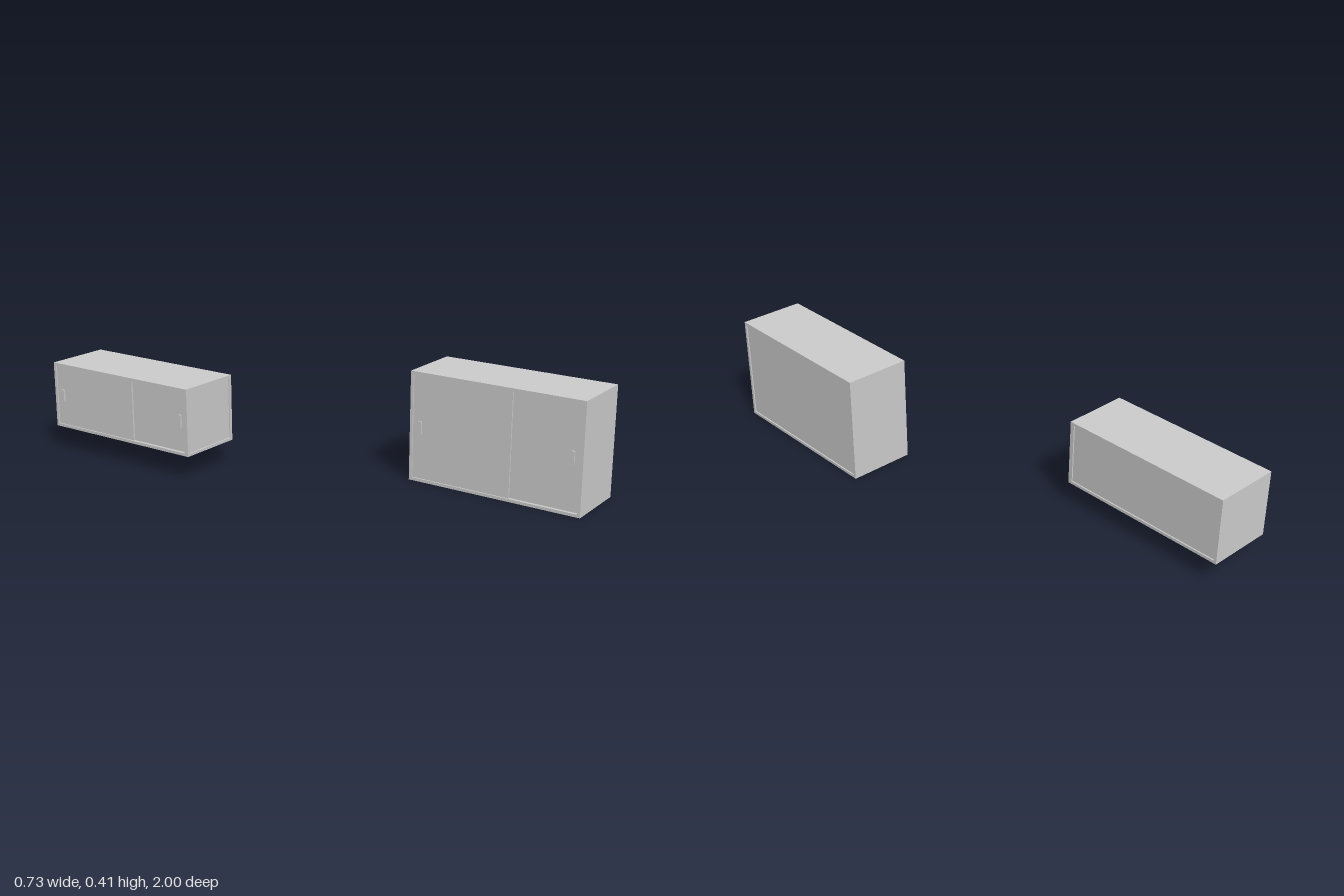
import * as THREE from 'three';

const T = 0.011;      // board thickness
const W = 0.254;      // cabinet depth along x
const L = 0.675;      // cabinet length along z
const RECESS = 0.005; // inset of back panel and doors

const material = new THREE.MeshStandardMaterial({ color: 0xcccccc });

function box(name, sx, sy, sz, x, y, z) {
  const mesh = new THREE.Mesh(new THREE.BoxGeometry(sx, sy, sz), material);
  mesh.name = name;
  mesh.position.set(x, y, z);
  return mesh;
}

// Rectangular ring of board width T, extruded along z and centred
function ring(name, w, h, depth) {
  const rect = (C, a, b) => new C([
    new THREE.Vector2(-a, -b), new THREE.Vector2(a, -b),
    new THREE.Vector2(a, b), new THREE.Vector2(-a, b)]);
  const shape = rect(THREE.Shape, w / 2, h / 2);
  shape.holes.push(rect(THREE.Path, w / 2 - T, h / 2 - T));
  const geo = new THREE.ExtrudeGeometry(shape, { depth, bevelEnabled: false });
  geo.translate(0, 0, -depth / 2);
  const mesh = new THREE.Mesh(geo, material);
  mesh.name = name;
  return mesh;
}

// Cabinet centred on its own middle: doors face -x, back faces +x
function cabinet(name, height, shelves, insetEnd) {
  const g = new THREE.Group();
  g.name = name;
  const innerH = height - 2 * T;

  // Carcass of top, bottom and two ends; one end may be framed and inset
  const length = insetEnd ? L - RECESS : L;
  const carcass = ring('carcass', length, height, W);
  carcass.rotation.y = Math.PI / 2;
  carcass.position.z = (length - L) / 2;
  g.add(carcass);
  if (insetEnd) {
    const rim = ring('endFrame', W, height, RECESS);
    rim.position.z = L / 2 - RECESS / 2;
    g.add(rim);
  }

  // Back panel
  g.add(box('backPanel', 0.006, innerH, length - 2 * T,
    W / 2 - RECESS - 0.003, 0, carcass.position.z));

  // Overlapping sliding doors with small upright pulls
  const doorL = 0.392, doorT = 0.006;
  const inner = L / 2 - T;
  for (const [side, depth] of [[-1, RECESS], [1, RECESS + doorT + 0.001]]) {
    const face = -W / 2 + depth;
    const end = side > 0 ? inner - (L - length) : inner;
    g.add(box(side < 0 ? 'outerDoor' : 'innerDoor', doorT, innerH, doorL,
      face + doorT / 2, 0, side * (end - doorL / 2)));
    const pull = 0.007;
    g.add(box('doorPull', pull, 0.047, 0.012,
      face - pull / 2, 0, side * (L / 2 - 0.042)));
  }

  // Shelves inside
  for (let i = 1; i <= shelves; i++) {
    g.add(box('shelf', W - 0.05, 0.008, length - 2 * T,
      0.012, -height / 2 + height * i / (shelves + 1), carcass.position.z));
  }
  return g;
}

export function createModel() {
  const model = new THREE.Group();
  model.name = 'cabinetPair';

  const tall = cabinet('tallCabinet', 0.411, 2, false);
  tall.position.set(0.236, 0.2055, 1 - L / 2);

  const low = cabinet('wallCabinet', 0.254, 0, true);
  low.position.set(-0.236, 0.215, -1 + L / 2);

  model.add(tall, low);
  return model;
}
